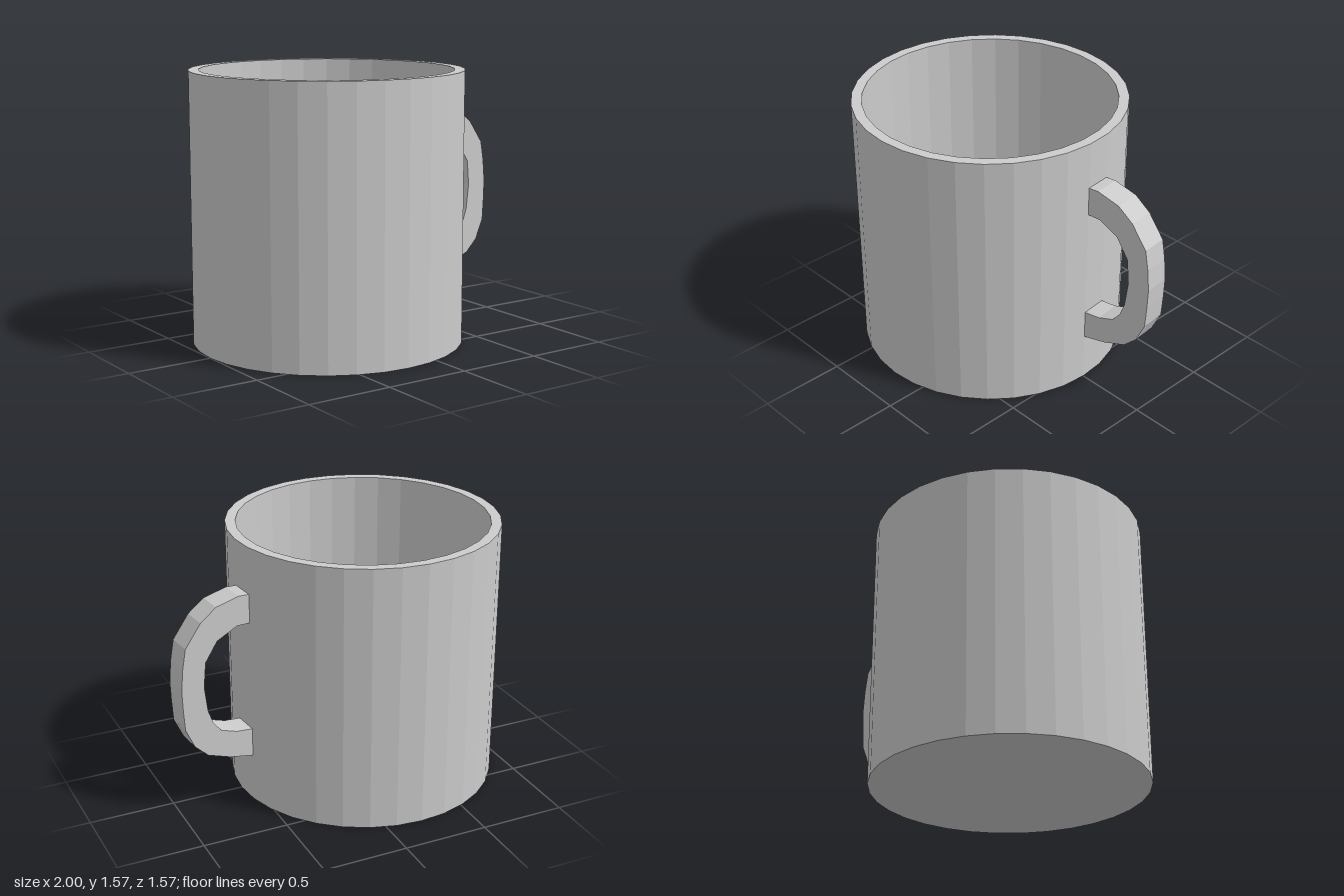
import * as THREE from 'three';

const SIDES = 32;
const R = 0.786, WALL = 0.06, H = 1.57, FLOOR = 0.06;
const CENTRE_X = -0.214;

const v2 = ([x, y]) => new THREE.Vector2(x, y);

export function createModel() {
  const mug = new THREE.Group();
  mug.name = 'mug';
  const material = new THREE.MeshStandardMaterial({ color: 0xcccccc, flatShading: true });

  // Cup: underside, outer wall, rim, inner wall and inner floor in one profile
  const profile = [[0, 0], [R, 0], [R, H], [R - WALL, H], [R - WALL, FLOOR], [0, FLOOR]].map(v2);
  const cup = new THREE.Mesh(new THREE.LatheGeometry(profile, SIDES), material);
  cup.name = 'cup';
  cup.position.x = CENTRE_X;
  mug.add(cup);

  // Handle outline: outer curve upwards, then inner curve back down (x, y)
  const outline = [
    [0.572, 0.29], [0.715, 0.32], [0.853, 0.371], [0.932, 0.446], [0.986, 0.565],
    [0.994, 0.69], [0.998, 0.81], [0.986, 0.94], [0.965, 1.057], [0.869, 1.19],
    [0.773, 1.263], [0.634, 1.298], [0.572, 1.295],
    [0.572, 1.124], [0.65, 1.124], [0.773, 1.062], [0.848, 0.948], [0.862, 0.80],
    [0.844, 0.65], [0.815, 0.569], [0.767, 0.507], [0.67, 0.473], [0.572, 0.463],
  ];

  // The handle grows straight out of one facet of the cup wall
  const facetAngle = Math.PI / SIDES;
  const width = 2 * R * Math.sin(facetAngle);
  const root = CENTRE_X + R;
  const shape = new THREE.Shape(outline.map(([x, y]) => v2([(x - root) / Math.cos(facetAngle), y])));
  const geometry = new THREE.ExtrudeGeometry(shape, { depth: width, bevelEnabled: false });
  geometry.translate(0, 0, -width);
  const handle = new THREE.Mesh(geometry, material);
  handle.name = 'handle';
  handle.position.x = root;
  handle.rotation.y = facetAngle;
  mug.add(handle);

  return mug;
}
